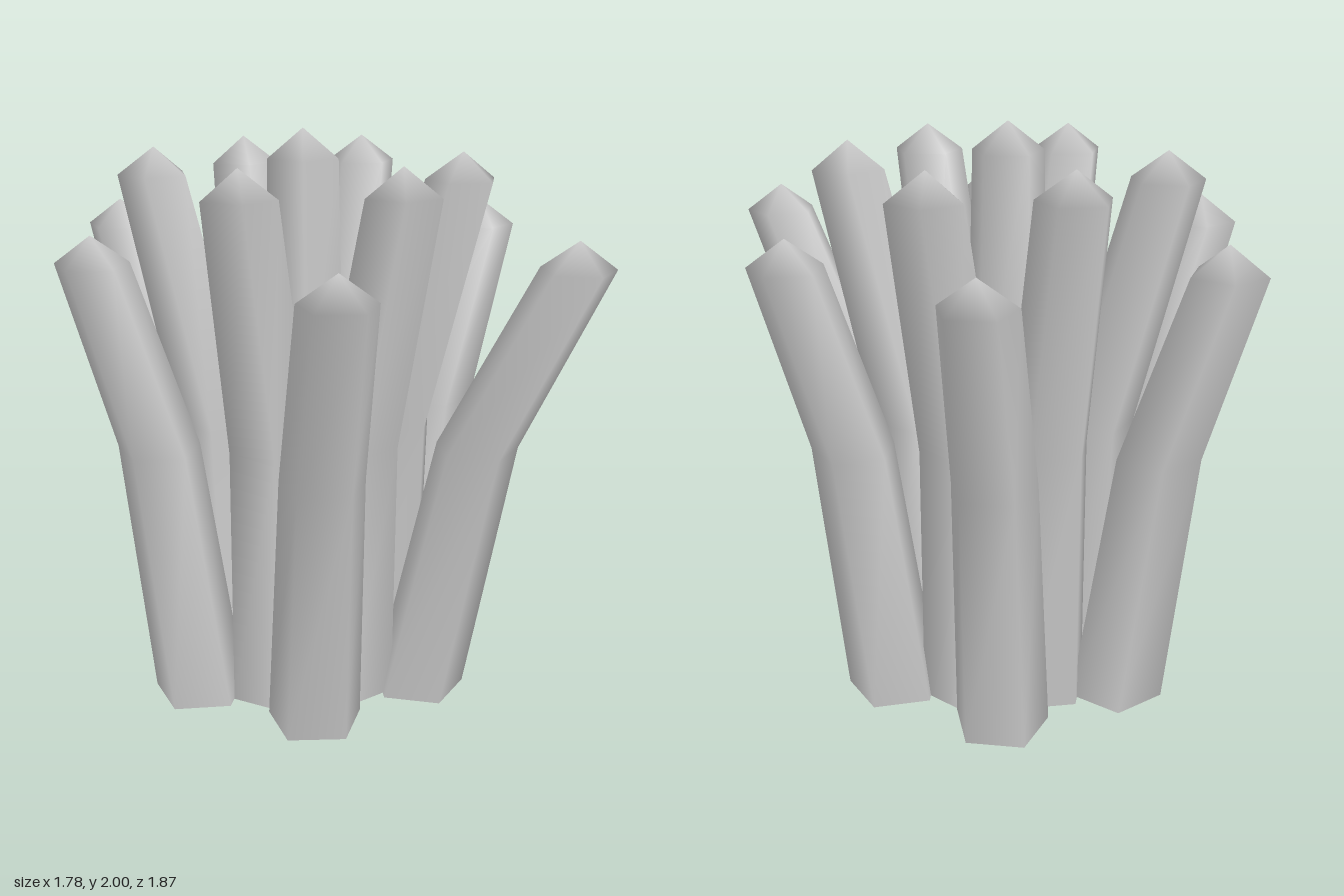
import * as THREE from 'three';

const SIDES = 5;
const material = new THREE.MeshStandardMaterial({ color: 0xcccccc, side: THREE.DoubleSide });

// Loft level pentagon rings, then close the top with a point. Open underneath.
// rings: [x, y, z, radius]; facing: direction (x, z) of one flat side.
function stalk(name, rings, facing, tipHeight) {
  const positions = [], index = [];
  const turn = Math.atan2(facing[1], facing[0]) + Math.PI / SIDES;
  for (const [x, y, z, r] of rings) {
    for (let i = 0; i < SIDES; i++) {
      const a = turn + (i / SIDES) * Math.PI * 2;
      positions.push(x + r * Math.cos(a), y, z + r * Math.sin(a));
    }
  }
  const [tx, , tz] = rings[rings.length - 1];
  const apex = positions.length / 3;
  positions.push(tx, tipHeight, tz);
  for (let k = 0; k < rings.length; k++) {
    for (let i = 0; i < SIDES; i++) {
      const a = k * SIDES + i, b = k * SIDES + (i + 1) % SIDES;
      if (k === rings.length - 1) index.push(a, apex, b);
      else index.push(a, a + SIDES, b, b, a + SIDES, b + SIDES);
    }
  }
  const geometry = new THREE.BufferGeometry();
  geometry.setAttribute('position', new THREE.Float32BufferAttribute(positions, 3));
  geometry.setIndex(index);
  geometry.computeVertexNormals();
  const mesh = new THREE.Mesh(geometry, material);
  mesh.name = name;
  return mesh;
}

// Ring of stalks that rise steeply, then bend outward at mid height.
// bend: share of the way from foot to tip reached at the middle ring.
function cluster(name, { bend, footRadius, shoulder, tip }, stalks) {
  const group = new THREE.Group();
  group.name = name + 's';
  stalks.forEach(([foot, top, facing], i) => {
    const at = (t, y, r) => [
      THREE.MathUtils.lerp(foot[0], top[0], t), y, THREE.MathUtils.lerp(foot[1], top[1], t), r,
    ];
    const rings = [at(0, 0, footRadius), at(bend, 0.95, 0.147), at(1, shoulder, 0.128)];
    group.add(stalk(name + (i + 1), rings, facing, tip));
  });
  return group;
}

export function createModel() {
  const model = new THREE.Group();
  model.name = 'stalkCluster';

  // Upright middle stalk
  model.add(stalk('centreStalk', [
    [-0.01, 0, -0.067, 0.16],
    [-0.01, 0.95, -0.067, 0.147],
    [-0.015, 1.9, -0.07, 0.128],
  ], [0, 1], 2));

  // Inner stalks: foot (x, z), tip (x, z), facing (x, z)
  model.add(cluster('innerStalk', { bend: 0.14, footRadius: 0.165, shoulder: 1.83, tip: 1.925 }, [
    [[-0.01, 0.2], [-0.02, 0.475], [0, 1]],
    [[0.235, 0.08], [0.4, 0.285], [0.7, 0.7]],
    [[0.235, -0.21], [0.465, -0.36], [0.95, -0.3]],
    [[0.01, -0.35], [0.08, -0.59], [0.4, -0.9]],
    [[-0.24, -0.22], [-0.375, -0.465], [-0.47, -0.88]],
    [[-0.25, 0.075], [-0.46, 0.21], [-0.88, 0.46]],
  ]));

  // Outer stalks, shorter and leaning further out
  model.add(cluster('outerStalk', { bend: 0.38, footRadius: 0.17, shoulder: 1.6, tip: 1.695 }, [
    [[0.2, 0.345], [0.425, 0.81], [0.4, 0.9]],
    [[0.45, -0.05], [0.785, -0.035], [1, 0.03]],
    [[0.26, -0.46], [0.53, -0.75], [0.65, -0.76]],
    [[-0.21, -0.495], [-0.325, -0.83], [-0.06, -1]],
    [[-0.47, -0.085], [-0.775, -0.18], [-1, -0.2]],
    [[-0.255, 0.33], [-0.485, 0.76], [-0.55, 0.83]],
  ]));

  return model;
}
